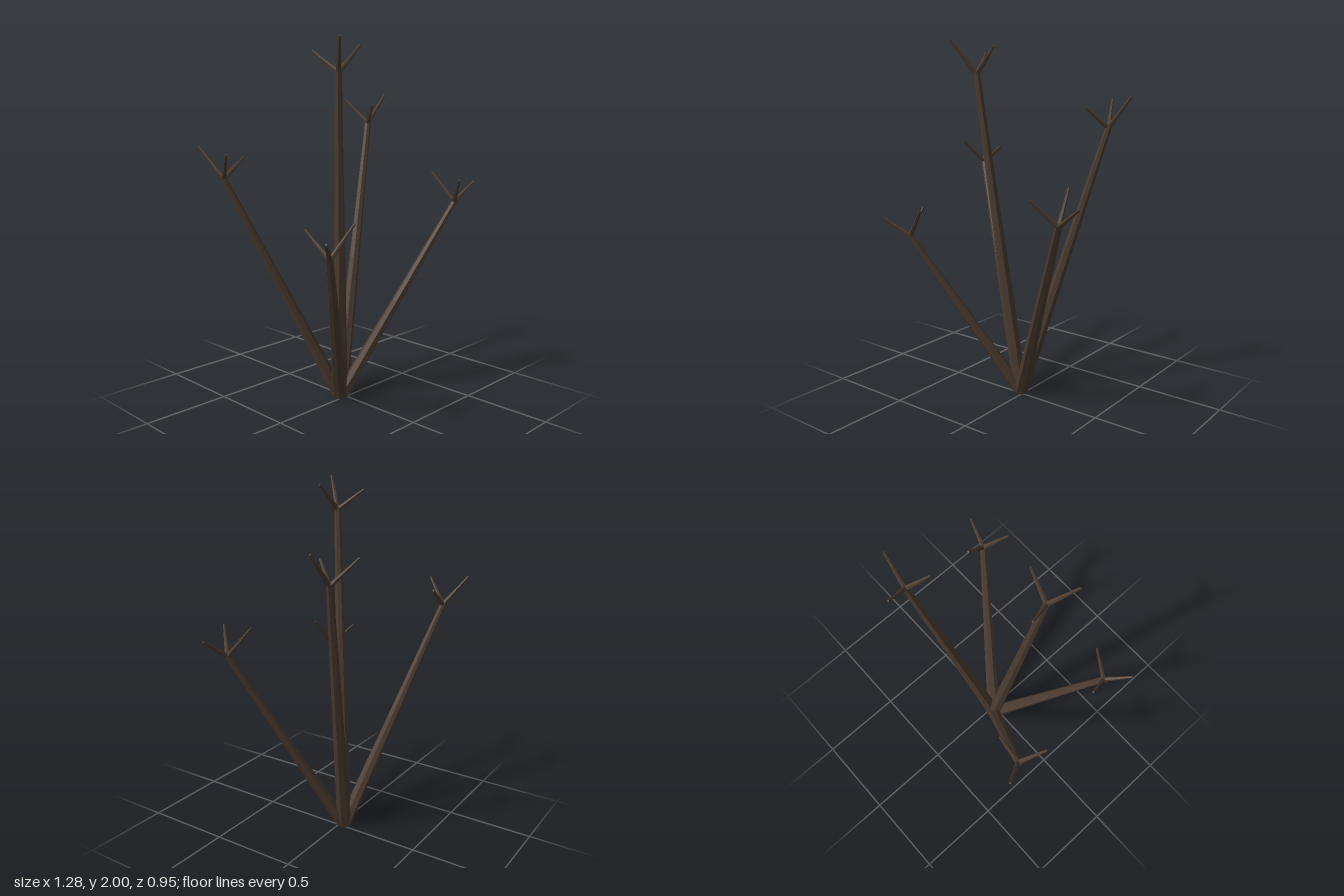
import * as THREE from 'three';

const bark = new THREE.MeshStandardMaterial({ color: 0x4b3c31, flatShading: true, roughness: 1 });
const base = new THREE.Vector3(-0.026, 0, -0.022);
const up = new THREE.Vector3(0, 1, 0);

// Each stem: its fork point, then the ends of its three twigs
const stems = [
  { fork: [-0.20, 1.84, 0.14], twigs: [[-0.25, 1.94, 0.0], [-0.06, 1.97, 0.16], [-0.29, 2.0, 0.24]] },
  { fork: [0.41, 1.56, -0.22], twigs: [[0.35, 1.69, -0.35], [0.55, 1.72, -0.21], [0.33, 1.66, -0.11]] },
  { fork: [0.50, 1.13, 0.37], twigs: [[0.46, 1.29, 0.23], [0.635, 1.23, 0.40], [0.40, 1.26, 0.47]] },
  { fork: [-0.57, 1.29, -0.35], twigs: [[-0.635, 1.42, -0.23], [-0.43, 1.39, -0.35], [-0.635, 1.45, -0.47]] },
  { fork: [-0.50, 0.95, 0.38], twigs: [[-0.53, 1.08, 0.24], [-0.37, 1.11, 0.42], [-0.61, 1.05, 0.47]] },
];

// Tapered stem with level rings, leaning from the shared foot to its fork
function makeStem(fork) {
  const height = fork.y;
  const geo = new THREE.CylinderGeometry(0.018, 0.043, height, 7, 2);
  geo.translate(0, height / 2, 0);
  const p = geo.attributes.position;
  for (let i = 0; i < p.count; i++) {
    const t = p.getY(i) / height;
    p.setX(i, p.getX(i) + THREE.MathUtils.lerp(base.x, fork.x, t));
    p.setZ(i, p.getZ(i) + THREE.MathUtils.lerp(base.z, fork.z, t));
  }
  geo.computeVertexNormals();
  const mesh = new THREE.Mesh(geo, bark);
  mesh.name = 'stem';
  return mesh;
}

// Thin straight twig between two points
function makeTwig(from, to) {
  const dir = to.clone().sub(from);
  const geo = new THREE.CylinderGeometry(0.006, 0.014, dir.length(), 6);
  const mesh = new THREE.Mesh(geo, bark);
  mesh.position.copy(from).addScaledVector(dir, 0.5);
  mesh.quaternion.setFromUnitVectors(up, dir.normalize());
  mesh.name = 'twig';
  return mesh;
}

export function createModel() {
  const model = new THREE.Group();
  model.name = 'branchCluster';
  for (const { fork, twigs } of stems) {
    const branch = new THREE.Group();
    branch.name = 'branch';
    const forkPoint = new THREE.Vector3(...fork);
    branch.add(makeStem(forkPoint));
    // Twigs start slightly inside the stem so the fork is closed
    const start = forkPoint.clone().lerp(base, 0.006);
    for (const end of twigs) branch.add(makeTwig(start, new THREE.Vector3(...end)));
    model.add(branch);
  }
  return model;
}
